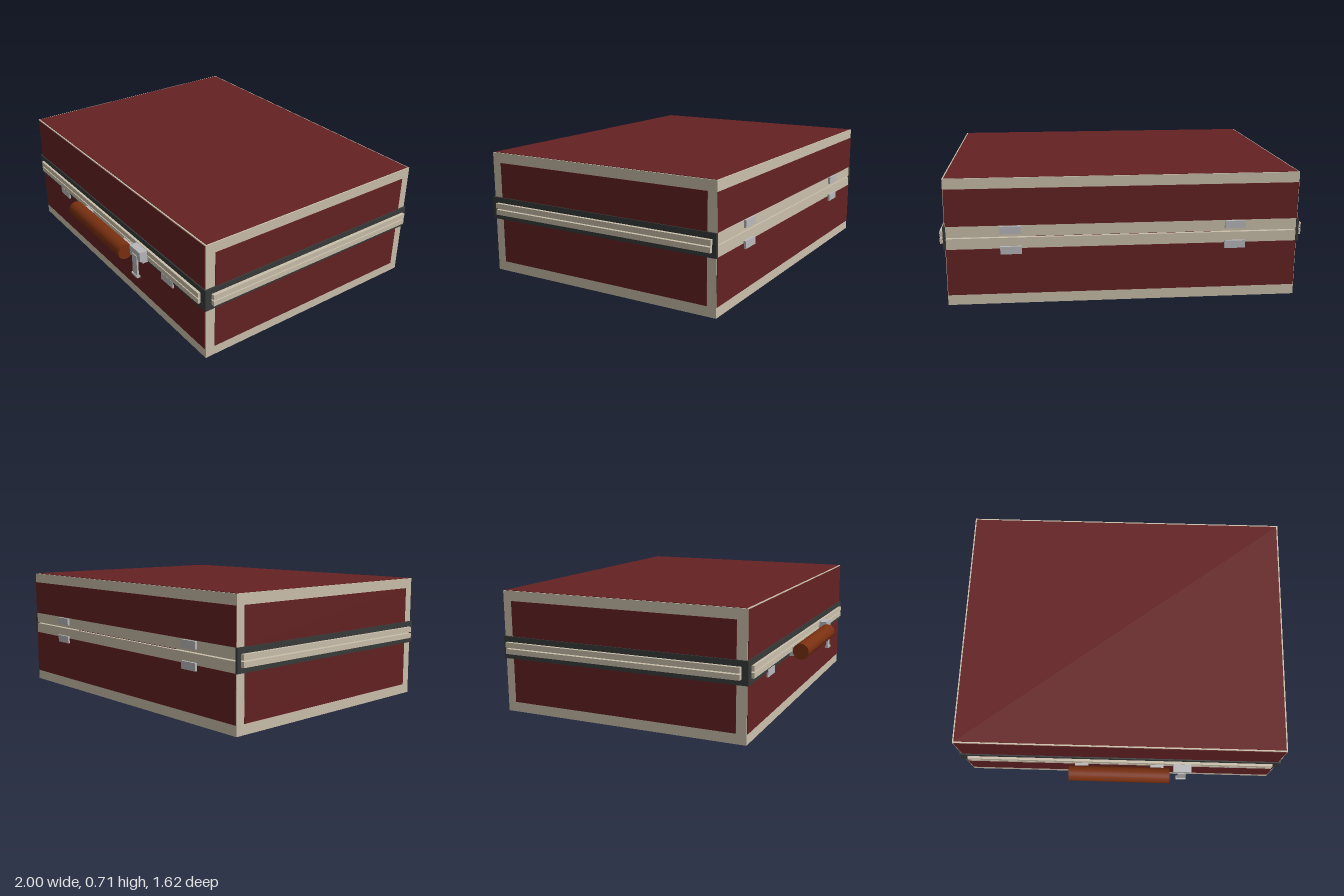
import * as THREE from 'three';

const mat = (name, color) => {
  const m = new THREE.MeshStandardMaterial({ color });
  m.name = name;
  return m;
};

export function createModel() {
  const red = mat('dark red covering', 0x642122);
  const beige = mat('beige trim', 0xcabfab);
  const dark = mat('charcoal band', 0x383a3a);
  const silver = mat('silver metal', 0xb9b9bb);
  const brown = mat('brown leather', 0x7a3010);

  const model = new THREE.Group();
  model.name = 'suitcase';

  // Box given by its limits on each axis
  const box = (name, m, [x0, x1], [y0, y1], [z0, z1]) => {
    const mesh = new THREE.Mesh(new THREE.BoxGeometry(x1 - x0, y1 - y0, z1 - z0), m);
    mesh.position.set((x0 + x1) / 2, (y0 + y1) / 2, (z0 + z1) / 2);
    mesh.name = name;
    model.add(mesh);
    return mesh;
  };
  const side = (s, a, b) => (s > 0 ? [a, b] : [-b, -a]);

  // Lower shell and lid, parted by a narrow gap
  box('lowerShell', beige, [-0.97, 0.97], [0.002, 0.38], [-0.798, 0.68]);
  box('lid', beige, [-0.97, 0.97], [0.387, 0.713], [-0.798, 0.68]);
  box('backSeam', red, [-0.485, 0.485], [0.379, 0.388], [-0.78, -0.76]);

  // Covering panels on top and bottom
  box('topPanel', red, [-0.962, 0.962], [0.71, 0.715], [-0.79, 0.672]);
  box('bottomPanel', red, [-0.962, 0.962], [0, 0.005], [-0.79, 0.672]);

  // Covering panels around the walls, below and above the band
  for (const [part, front, other] of [
    ['lower', [0.06, 0.33], [0.06, 0.32]],
    ['upper', [0.44, 0.708], [0.45, 0.655]],
  ]) {
    box(part + 'FrontPanel', red, [-0.963, 0.963], front, [0.678, 0.683]);
    box(part + 'BackPanel', red, [-0.967, 0.967], other, [-0.801, -0.796]);
    for (const s of [1, -1]) {
      box(part + 'SidePanel', red, side(s, 0.968, 0.973), other, [-0.745, 0.622]);
    }
  }

  // Dark band edges and beige rails on the front and both sides
  for (const [edge, rail] of [
    [[0.32, 0.35], [0.35, 0.38]],
    [[0.418, 0.45], [0.387, 0.418]],
  ]) {
    box('frontBandEdge', dark, [-0.98, 0.98], edge, [0.675, 0.69]);
    box('frontRail', beige, [-0.935, 0.935], rail, [0.675, 0.705]);
    for (const s of [1, -1]) {
      box('sideBandEdge', dark, side(s, 0.965, 0.98), edge, [-0.802, 0.69]);
      box('sideRail', beige, side(s, 0.965, 1), rail, [-0.778, 0.65]);
    }
  }
  for (const s of [1, -1]) {
    box('frontBandCorner', dark, side(s, 0.935, 0.98), [0.32, 0.45], [0.675, 0.69]);
    box('sideBandFrontEnd', dark, side(s, 0.965, 0.98), [0.32, 0.45], [0.652, 0.69]);
    box('sideBandBackEnd', dark, side(s, 0.965, 0.98), [0.32, 0.45], [-0.802, -0.778]);

    // Hinge leaves at the back, matching plates at the front
    const x = [s * 0.618 - 0.058, s * 0.618 + 0.058];
    box('lowerHinge', silver, x, [0.29, 0.333], [-0.812, -0.79]);
    box('upperHinge', silver, x, [0.405, 0.447], [-0.812, -0.79]);
    box('frontPlate', silver, x, [0.29, 0.333], [0.675, 0.693]);
  }

  // Handle grip with two mounting brackets
  const grip = new THREE.Mesh(new THREE.CylinderGeometry(0.047, 0.047, 0.617, 32), brown);
  grip.rotation.z = Math.PI / 2;
  grip.position.set(-0.003, 0.36, 0.766);
  grip.name = 'handleGrip';
  model.add(grip);
  for (const x of [-0.235, 0.23]) {
    box('handleBracket', silver, [x - 0.04, x + 0.04], [0.32, 0.375], [0.685, 0.745]);
  }

  // Latch: housing, hanging tongue and its end lip
  box('latchHousing', silver, [0.33, 0.44], [0.355, 0.415], [0.7, 0.753]);
  box('latchKeeper', silver, [0.35, 0.42], [0.325, 0.36], [0.685, 0.725]);
  box('latchTongue', silver, [0.36, 0.41], [0.245, 0.38], [0.747, 0.758]);
  box('latchLip', silver, [0.354, 0.416], [0.237, 0.25], [0.742, 0.764]);

  return model;
}
